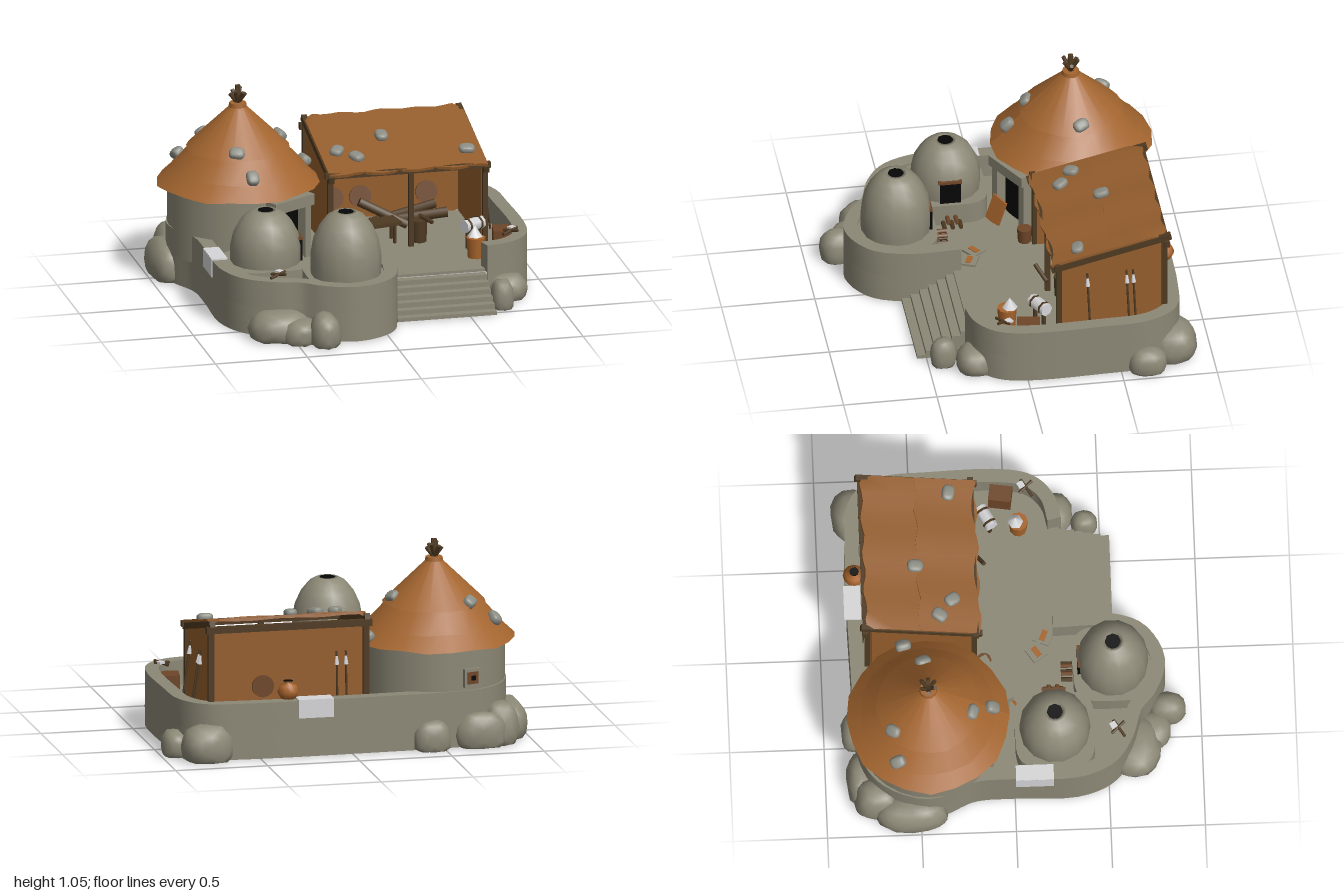
import * as THREE from 'three';
import { mergeVertices, toCreasedNormals } from 'three/addons/utils/BufferGeometryUtils.js';

const mat = (name, color) => {
  const m = new THREE.MeshStandardMaterial({ color, side: THREE.DoubleSide });
  m.name = name;
  return m;
};
const stone = mat('stone', 0x8c8876), thatch = mat('thatch', 0xa3652f), hide = mat('hide', 0x955e2d),
  wood = mat('darkWood', 0x4f3a22), plank = mat('lightWood', 0x6e4628), pebble = mat('greyStone', 0x8b8d84),
  cloth = mat('whiteCloth', 0xd6d6d8), black = mat('soot', 0x060606), clay = mat('clay', 0xa8642c);

export function createModel() {
  const root = new THREE.Group();
  let seed = 7;
  const rnd = () => (seed = (seed * 16807) % 2147483647) / 2147483647;
  const add = (name, geo, m, x = 0, y = 0, z = 0, rx = 0, ry = 0, rz = 0) => {
    const mesh = new THREE.Mesh(geo, m);
    mesh.name = name;
    mesh.position.set(x, y, z);
    mesh.rotation.set(rx, ry, rz);
    root.add(mesh);
    return mesh;
  };
  const box = (w, h, d) => new THREE.BoxGeometry(w, h, d);
  const cyl = (a, b, h, n = 10) => new THREE.CylinderGeometry(a, b, h, n);
  // round pole between two points
  const pole = (name, a, b, r, m = wood, r2 = r) => {
    const p = new THREE.Vector3(...a), q = new THREE.Vector3(...b);
    const mesh = add(name, cyl(r2, r, p.distanceTo(q), 7), m);
    mesh.position.copy(p).lerp(q, 0.5);
    mesh.quaternion.setFromUnitVectors(new THREE.Vector3(0, 1, 0), q.sub(p).normalize());
  };
  // lumpy stone; a lower power makes it blockier
  const lump = (amount, power) => {
    let g = new THREE.IcosahedronGeometry(1, 2);
    g.deleteAttribute('normal');
    g.deleteAttribute('uv');
    g = mergeVertices(g);
    const p = g.attributes.position, f = v => Math.sign(v) * Math.abs(v) ** power;
    for (let i = 0; i < p.count; i++) {
      const k = 1 + (rnd() - 0.5) * amount;
      p.setXYZ(i, f(p.getX(i)) * k, f(p.getY(i)) * k, f(p.getZ(i)) * k);
    }
    return g;
  };
  // upright extrusion of a plan outline given as Vector2(x, z)
  const slab = (pts, y0, h) => {
    const s = new THREE.Shape(pts.map(p => new THREE.Vector2(p.x, -p.y)));
    const g = new THREE.ExtrudeGeometry(s, { depth: h, bevelEnabled: false });
    return toCreasedNormals(g.rotateX(-Math.PI / 2).translate(0, y0, 0), 0.6);
  };

  // perimeter wall, hollow plinth below it, and floor
  const path = new THREE.CatmullRomCurve3([
    [0.065, 0.23], [0.065, 0.52], [0.0, 0.69], [-0.17, 0.78], [-0.33, 0.73], [-0.43, 0.65], [-0.58, 0.6],
    [-0.71, 0.51], [-0.78, 0.34], [-0.78, 0], [-0.79, -0.22], [-0.876, -0.45], [-0.797, -0.677], [-0.665, -0.774],
    [-0.5, -0.8], [-0.2, -0.81], [0.58, -0.815], [0.78, -0.78], [0.87, -0.65], [0.89, -0.4], [0.89, 0.02],
    [0.85, 0.15], [0.76, 0.23], [0.64, 0.26],
  ].map(([x, z]) => new THREE.Vector3(x, 0, z)), false, 'centripetal');
  const line = offset => Array.from({ length: 101 }, (_, i) => {
    const p = path.getPoint(i / 100), t = path.getTangent(i / 100);
    return new THREE.Vector2(p.x + t.z * offset, p.z - t.x * offset);
  });
  const band = (a, b) => [...line(a), ...line(b).reverse()];
  add('perimeterWall', slab(band(-0.037, 0.037), 0.165, 0.148), stone);
  add('platformSide', slab(band(0.031, 0.037), 0.01, 0.155), stone);
  add('floor', slab([...line(0), new THREE.Vector2(0.64, 0.275), new THREE.Vector2(0.1, 0.275)], 0.165, 0.015), stone);
  for (let i = 0; i < 6; i++) {
    const h = 0.15 - i * 0.026;
    add('step', box(0.54, h, 0.047), stone, 0.37, 0.01 + h / 2, 0.295 + i * 0.0465);
  }

  // boulders: x, z, half width, height, half depth
  for (const [x, z, w, h, d] of [
    [-0.9, -0.55, 0.1, 0.2, 0.19], [-0.82, -0.73, 0.1, 0.23, 0.12], [-0.7, -0.81, 0.14, 0.19, 0.08],
    [-0.43, -0.84, 0.1, 0.16, 0.07], [-0.56, 0.64, 0.17, 0.16, 0.14], [-0.36, 0.82, 0.08, 0.18, 0.1],
    [-0.47, 0.74, 0.1, 0.13, 0.1], [0.76, 0.26, 0.11, 0.14, 0.1], [0.7, 0.42, 0.06, 0.16, 0.07],
    [0.78, -0.79, 0.14, 0.2, 0.13], [0.92, -0.64, 0.075, 0.14, 0.1],
  ]) {
    const g = lump(0.1, 0.85).scale(w, h * 0.65, d).translate(0, h * 0.35, 0);
    const p = g.attributes.position;
    for (let i = 0; i < p.count; i++) p.setY(i, Math.max(0, p.getY(i)));
    g.computeVertexNormals();
    add('boulder', g, stone, x, 0.005, z);
  }

  // round hut with three thatch tiers
  const hx = -0.53, hz = -0.45;
  add('hutWall', new THREE.CylinderGeometry(0.375, 0.375, 0.4, 28, 1, true), stone, hx, 0.365, hz);
  [[0.31, 0.65, 0.432, 0.535], [0.24, 0.74, 0.36, 0.612], [0.035, 0.955, 0.275, 0.722]].forEach(([r1, y1, r2, y2], n) => {
    const g = new THREE.CylinderGeometry(r1, r2, y1 - y2, 20, 1, true), p = g.attributes.position;
    for (let i = 0; i < p.count; i++) {
      if (p.getY(i) > 0) continue;
      const k = 1 + 0.014 * Math.sin(Math.atan2(p.getX(i), p.getZ(i)) * 7 + n * 2);
      p.setXYZ(i, p.getX(i) * k, p.getY(i) - (k - 1) * r2 * 0.8, p.getZ(i) * k);
    }
    g.computeVertexNormals();
    add('thatchTier', g, thatch, hx, (y1 + y2) / 2, hz);
  });
  add('roofCap', cyl(0.045, 0.05, 0.03), thatch, hx, 0.95, hz);
  for (let i = 0; i < 6; i++) {
    const c = Math.cos(i * 1.05), s = Math.sin(i * 1.05);
    pole('roofPole', [hx - c * 0.015, 0.94, hz - s * 0.015], [hx + c * 0.042, 1.015 + (i % 3) * 0.012, hz + s * 0.042], 0.011);
  }
  add('smokePole', box(0.025, 0.1, 0.025), wood, hx, 1.01, hz);

  // hut doorway and porch
  const door = 0.52;
  add('doorOpening', new THREE.CylinderGeometry(0.379, 0.379, 0.29, 6, 1, true, door - 0.24, 0.48), black, hx, 0.325, hz);
  const porch = (name, w, h, d, across, y, out) => add(name, box(w, h, d), stone,
    hx + Math.sin(door) * out + Math.cos(door) * across, y, hz + Math.cos(door) * out - Math.sin(door) * across, 0, door);
  for (const s of [-1, 1]) porch('doorPost', 0.04, 0.3, 0.06, s * 0.112, 0.33, 0.395);
  porch('doorLintel', 0.28, 0.06, 0.08, 0, 0.5, 0.405);

  // small framed window at the back of the hut
  const win = Math.PI + 0.33;
  [[0.1, stone, 0.378], [0.065, plank, 0.383], [0.025, black, 0.387]].forEach(([w, m, r]) =>
    add('window', box(w, w, 0.02), m, hx + Math.sin(win) * r, 0.38, hz + Math.cos(win) * r, 0, win));

  // domed kilns: centre, top height, mouth direction
  for (const [x, z, top, mouth] of [[-0.54, 0.22, 0.58, Math.PI / 2], [-0.18, 0.54, 0.645, Math.PI]]) {
    const base = 0.2, h = top - base;
    const prof = [[0.175, 0], [0.188, 0.3], [0.187, 0.5], [0.172, 0.68], [0.14, 0.84], [0.1, 0.95], [0.06, 1], [0.042, 1], [0.04, 0.9]];
    add('kilnDome', new THREE.LatheGeometry(prof.map(([r, t]) => new THREE.Vector2(r, base + t * h)), 14), stone, x, 0, z);
    add('kilnVent', cyl(0.042, 0.042, 0.012, 8), black, x, top - 0.004, z);
    const c = [];
    for (let i = 0; i < 32; i++) {
      const a = i / 32 * Math.PI * 2, f = v => Math.sign(v) * Math.sqrt(Math.abs(v)) * 0.212;
      c.push(new THREE.Vector2(x + f(Math.cos(a)), z + f(Math.sin(a))));
    }
    add('kilnPlinth', slab(c, 0.17, 0.13), stone);
    const sx = Math.sin(mouth), cz = Math.cos(mouth);
    add('kilnMouth', box(0.11, 0.13, 0.07), black, x + sx * 0.154, 0.355, z + cz * 0.154, 0, mouth);
    add('mouthLintel', box(0.125, 0.014, 0.07), plank, x + sx * 0.154, 0.425, z + cz * 0.154, 0, mouth);
    for (let i = 0; i < 5; i++) {
      const o = (i - 2) * 0.022;
      pole('firewood', [x + sx * 0.215 + cz * o, 0.2 + (i % 2) * 0.03, z + cz * 0.215 + sx * o],
        [x + sx * 0.275 + cz * o, 0.2 + (i % 2) * 0.03, z + cz * 0.275 + sx * o], 0.012, i % 2 ? plank : wood);
    }
  }

  // open-front shed: walls
  add('shedBackWall', box(0.84, 0.52, 0.02), hide, 0.33, 0.44, -0.735);
  const side = new THREE.Shape([[-0.2, 0.18], [-0.735, 0.18], [-0.735, 0.71], [-0.2, 0.59]].map(p => new THREE.Vector2(...p)));
  for (const x of [-0.075, 0.755])
    add('shedSideWall', new THREE.ExtrudeGeometry(side, { depth: 0.02, bevelEnabled: false }).rotateY(-Math.PI / 2), hide, x);
  // shed frame
  for (const x of [-0.09, 0.35, 0.752]) add('frontPost', box(0.028, 0.43, 0.028), wood, x, 0.39, -0.19);
  for (const x of [-0.09, 0.752]) {
    add('backPost', box(0.032, 0.54, 0.03), wood, x, 0.45, -0.755);
    add('rafter', box(0.03, 0.034, 0.66), wood, x, 0.662, -0.47, 0.235);
  }
  add('frontBeam', box(0.9, 0.03, 0.03), wood, 0.33, 0.605, -0.18);
  add('backBeam', box(0.9, 0.035, 0.03), wood, 0.33, 0.7, -0.765);
  // two ragged overlapping roof hides, the upper one with clipped back corners
  [[-0.318, 0.648, 0.33], [-0.607, 0.714, 0.32]].forEach(([z, y, d], n) => {
    const g = new THREE.BoxGeometry(0.86, 0.016, d, 18, 1, 4), p = g.attributes.position;
    for (let i = 0; i < p.count; i++) {
      const x = p.getX(i), zz = p.getZ(i);
      const clip = Math.abs(x) > 0.4 && n && zz < -0.1 ? 0.02 : 0;
      p.setXYZ(i, x, p.getY(i) + 0.003 * Math.sin(x * 17 + n) - clip, zz + 0.009 * Math.sin(x * 31 + n * 2) * (zz / d) * 2 + clip);
    }
    add('roofHide', toCreasedNormals(g, 0.7), hide, 0.33, y, z, 0.235);
  });

  // weight stones on both roofs
  for (const [x, z, turn] of [[-0.82, -0.62, 0.2], [-0.68, -0.64, -0.6], [-0.3, -0.47, 0.5], [-0.14, -0.57, 0.3],
    [-0.59, -0.22, 1.3], [-0.53, -0.11, 0], [-0.01, -0.37, -0.6], [0.08, -0.3, 0.6], [0.26, -0.49, 0], [0.68, -0.3, 1.4]]) {
    const r = Math.hypot(x - hx, z - hz), onHut = r < 0.43;
    const g = lump(0.06, 0.7).scale(0.034, onHut ? 0.028 : 0.022, 0.043).rotateY(turn);
    g.computeVertexNormals();
    const s = add('weightStone', g, pebble, x, onHut ? 0.555 + (0.43 - r) * 1.04 : 0.63 - (z + 0.16) * 0.235, z);
    if (onHut) s.rotation.set(0.7 * (z - hz) / r, 0, -0.7 * (x - hx) / r);
    else s.rotation.x = 0.235;
  }

  // cloths hung over the wall
  add('clothTop', box(0.19, 0.008, 0.09), cloth, 0.205, 0.317, -0.825);
  add('clothDrop', box(0.19, 0.1, 0.008), cloth, 0.205, 0.27, -0.862);
  add('clothTop', box(0.085, 0.008, 0.2), cloth, -0.785, 0.317, 0.105);
  add('clothDrop', box(0.008, 0.1, 0.2), cloth, -0.825, 0.27, 0.105);

  // spears leaning on the shed
  const spear = (a, b) => {
    pole('spearShaft', a, b, 0.006);
    pole('spearTip', b.map((v, i) => v + (a[i] - v) * 0.2), b, 0.013, cloth, 0.002);
  };
  for (const z of [-0.34, -0.55, -0.585]) spear([0.82, 0.19, z - 0.01], [0.765, 0.55, z]);
  for (const x of [0.02, 0.07]) spear([x, 0.19, -0.78], [x, 0.55, -0.755]);

  // pot on the back wall and round shields
  const pot = [[0, 0], [0.04, 0.01], [0.06, 0.045], [0.045, 0.08], [0.022, 0.09], [0.026, 0.105]];
  add('waterPot', new THREE.LatheGeometry(pot.map(p => new THREE.Vector2(...p)), 12), clay, 0.345, 0.312, -0.81);
  add('potMouth', cyl(0.025, 0.025, 0.006), black, 0.345, 0.414, -0.81);
  add('backShield', cyl(0.06, 0.06, 0.012, 14), plank, 0.47, 0.38, -0.755, Math.PI / 2);
  for (const x of [0.05, 0.2, 0.56]) add('innerShield', cyl(0.06, 0.06, 0.012, 14), plank, x, 0.3, -0.715, 1.4);

  // workbench, logs and barrels inside the shed
  add('benchTop', box(0.22, 0.02, 0.12), wood, 0.2, 0.285, -0.3, 0, 0.2);
  for (const x of [0.12, 0.28]) for (const z of [-0.34, -0.26]) pole('benchLeg', [x, 0.18, z], [x, 0.28, z], 0.01);
  pole('log', [0.13, 0.36, -0.45], [0.38, 0.23, -0.4], 0.025);
  pole('log', [0.2, 0.22, -0.5], [0.62, 0.25, -0.5], 0.028);
  pole('log', [0.24, 0.2, -0.58], [0.58, 0.27, -0.6], 0.025);
  add('barrel', cyl(0.045, 0.04, 0.12), wood, 0.41, 0.24, -0.26);
  add('barrel', cyl(0.04, 0.035, 0.08), plank, -0.12, 0.22, -0.14);
  pole('axeHandle', [0.38, 0.37, -0.12], [0.46, 0.31, -0.17], 0.012);
  add('leaningBoard', box(0.1, 0.15, 0.012), clay, -0.32, 0.25, -0.02, -0.3, 0.6);

  // banded white roll on a trestle
  const roll = t => [0.61 + t * 0.11, 0.305, -0.07 - t * 0.06];
  pole('clothRoll', roll(0), roll(1), 0.036, cloth);
  for (const t of [0.15, 0.75]) {
    const [x, y, z] = roll(t + 0.05);
    pole('rollBand', roll(t), roll(t + 0.1), 0.038);
    pole('trestleLeg', [x, 0.18, z], [x, y, z], 0.012);
  }

  // yard clutter
  add('stool', box(0.09, 0.12, 0.12), plank, 0.8, 0.24, -0.02, 0, -0.15);
  add('basket', cyl(0.052, 0.045, 0.11, 9), clay, 0.64, 0.235, 0.07);
  add('basketCloth', new THREE.ConeGeometry(0.042, 0.06, 6), cloth, 0.64, 0.32, 0.055);
  [[-0.06, 0.14, 0.6], [0.03, 0.18, -0.4]].forEach(([x, z, a]) => {
    add('floorTile', box(0.09, 0.012, 0.09), stone, x, 0.186, z, 0, a);
    add('tilePaint', box(0.06, 0.004, 0.03), clay, x, 0.194, z, 0, a);
  });
  for (const [x, z] of [[0.82, 0.12], [-0.55, 0.56]]) {
    pole('wallStick', [x - 0.05, 0.32, z + 0.03], [x + 0.04, 0.335, z - 0.03], 0.008);
    pole('wallStick', [x - 0.03, 0.32, z - 0.04], [x + 0.03, 0.335, z + 0.03], 0.008);
    add('wallRag', box(0.035, 0.012, 0.035), cloth, x + 0.01, 0.335, z - 0.03, 0, 0.5);
  }
  return root;
}
